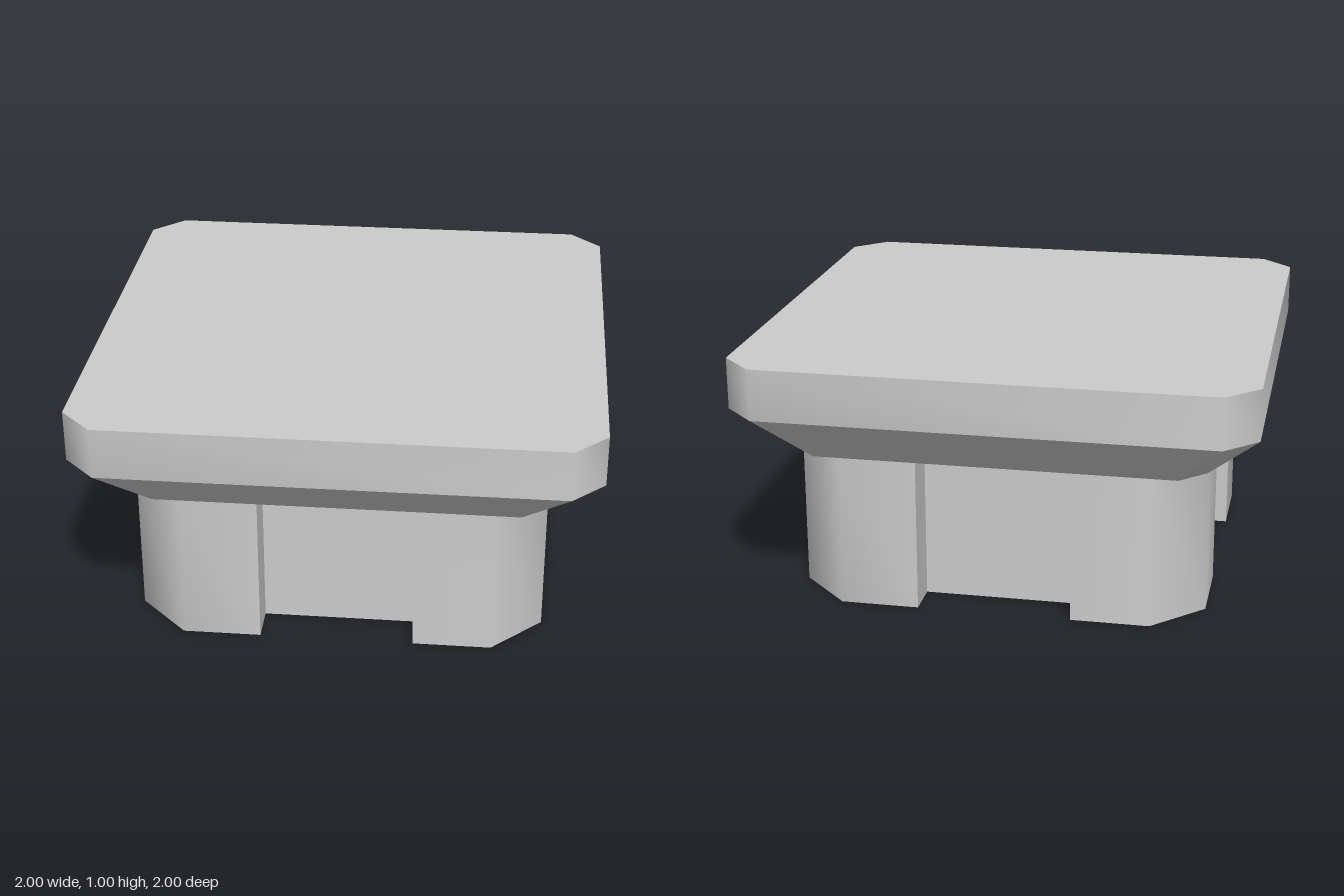
import * as THREE from 'three';
import { toCreasedNormals } from 'three/addons/utils/BufferGeometryUtils.js';

const material = new THREE.MeshStandardMaterial({ color: 0xcccccc });

// Repeats one corner's outline (counter-clockwise) around all four sides.
function fourfold(corner) {
  const points = [];
  for (let i = 0; i < 4; i++) {
    for (const [x, y] of corner) {
      points.push(new THREE.Vector2(x, y).rotateAround(new THREE.Vector2(), i * Math.PI / 2));
    }
  }
  return new THREE.Shape(points);
}

// Upright prism from y0 to y1, its lower end scaled to taper.
function prism(name, shape, y0, y1, bottomScale, creaseDegrees) {
  const geometry = new THREE.ExtrudeGeometry(shape, { depth: y1 - y0, bevelEnabled: false });
  geometry.rotateX(-Math.PI / 2);
  const p = geometry.attributes.position;
  for (let i = 0; i < p.count; i++) {
    const s = THREE.MathUtils.lerp(bottomScale, 1, p.getY(i) / (y1 - y0));
    p.setXYZ(i, p.getX(i) * s, p.getY(i) + y0, p.getZ(i) * s);
  }
  const mesh = new THREE.Mesh(toCreasedNormals(geometry, THREE.MathUtils.degToRad(creaseDegrees)), material);
  mesh.name = name;
  return mesh;
}

export function createModel() {
  const group = new THREE.Group();
  group.name = 'cappedPlug';

  // Square with clipped corners for the cap and the taper under it
  const capShape = fourfold([[1, 0.875], [0.875, 1]]);
  // Plug outline: clipped corner blocks with a shallow recess in each side
  const plugShape = fourfold([[0.65, 0.3], [0.8, 0.3], [0.8, 0.605], [0.605, 0.8], [0.3, 0.8], [0.3, 0.65]]);

  group.add(
    prism('capPlate', capShape, 0.8, 1, 1, 50),
    prism('capTaper', capShape, 0.6, 0.8, 0.8, 40),
    prism('plugBase', plugShape, 0, 0.6, 1, 50)
  );
  return group;
}
